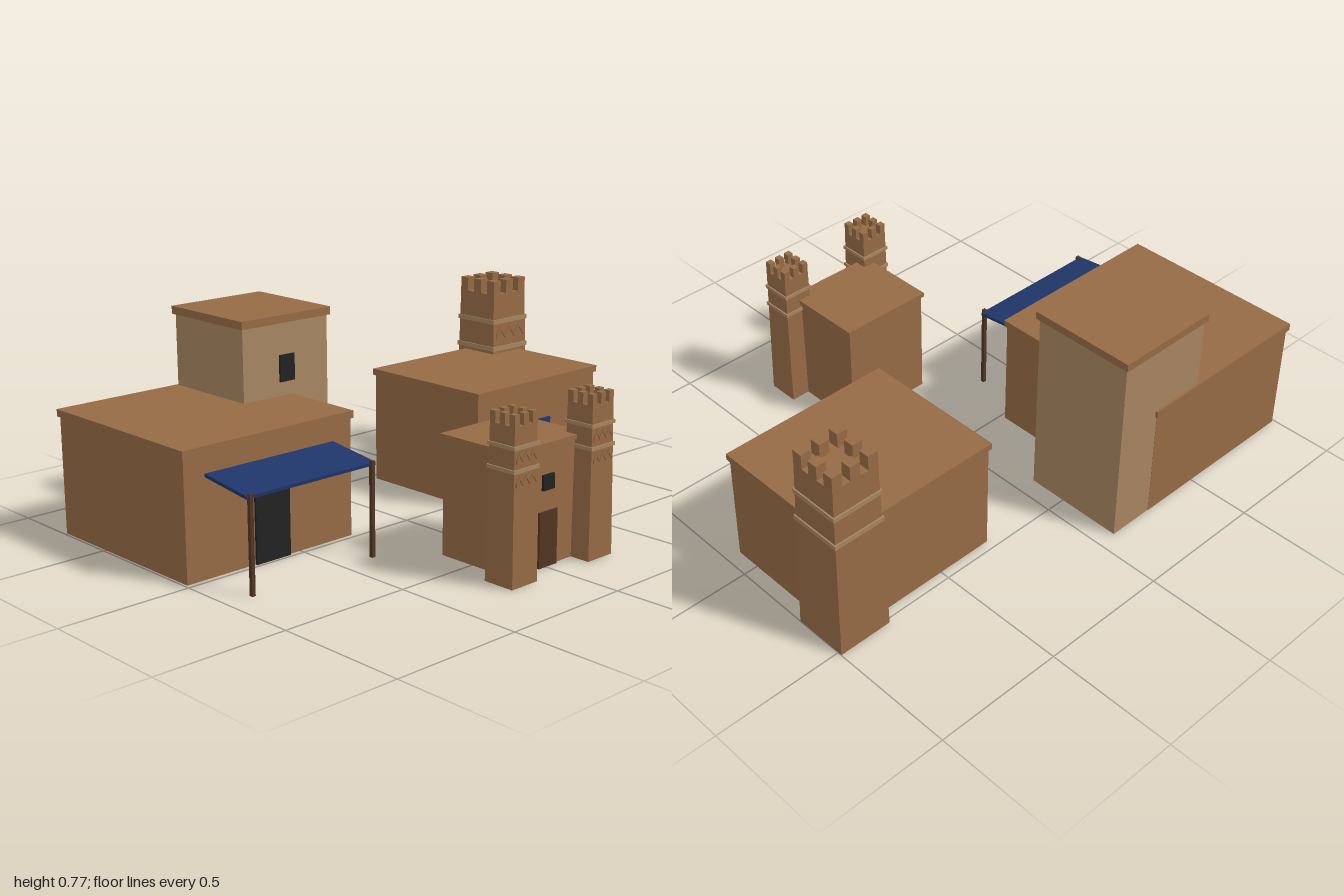
import * as THREE from 'three';

const material = (name, color, side = THREE.FrontSide) => {
  const m = new THREE.MeshStandardMaterial({ color, side });
  m.name = name;
  return m;
};

export function createModel() {
  const clay = material('brown clay', 0x966b45);
  const plaster = material('tan plaster', 0xa78661);
  const black = material('dark opening', 0x222222);
  const blue = material('blue', 0x20366a);
  const wood = material('dark wood', 0x523522);

  const root = new THREE.Group();
  root.name = 'desertVillage';

  const group = (name) => {
    const g = new THREE.Group();
    g.name = name;
    root.add(g);
    return g;
  };
  const add = (parent, name, geometry, mat) => {
    const mesh = new THREE.Mesh(geometry, mat);
    mesh.name = name;
    parent.add(mesh);
    return mesh;
  };
  // Box given by its extents on each axis
  const box = (parent, name, mat, [x0, x1], [y0, y1], [z0, z1]) => {
    const mesh = add(parent, name, new THREE.BoxGeometry(x1 - x0, y1 - y0, z1 - z0), mat);
    mesh.position.set((x0 + x1) / 2, (y0 + y1) / 2, (z0 + z1) / 2);
    return mesh;
  };
  // Walls with an overhanging slab roof
  const house = (parent, mat, xs, zs, eave, top, lip = 0.008) => {
    box(parent, 'walls', mat, xs, [0, eave], zs);
    box(parent, 'roof', clay, [xs[0] - lip, xs[1] + lip], [eave, top], [zs[0] - lip, zs[1] + lip]);
  };
  // Thin plate on a front wall
  const plate = (parent, name, mat, xs, ys, z) => box(parent, name, mat, xs, ys, [z, z + 0.009]);

  // Raised zigzag strip, centred on x
  const zigzag = (width, height) => {
    const n = 6, t = height * 0.35, upper = [], lower = [];
    for (let i = 0; i <= n; i++) {
      const x = (i / n - 0.5) * width, y = i % 2 ? height - t : 0;
      upper.push(new THREE.Vector2(x, y + t));
      lower.unshift(new THREE.Vector2(x, y));
    }
    return new THREE.ExtrudeGeometry(new THREE.Shape([...upper, ...lower]), { depth: 0.008, bevelEnabled: false });
  };

  // Tapered tower with tan bands, zigzags and a ring of merlons
  const turret = (name, x, z, { base, top, deck, height, bands, bandSize, zigzags }) => {
    const g = group(name);
    g.position.set(x, 0, z);
    const half = (y) => base + (top - base) * (y / deck);
    const shaft = new THREE.BoxGeometry(2, deck, 2).translate(0, deck / 2, 0);
    const p = shaft.attributes.position;
    for (let i = 0; i < p.count; i++) {
      const h = half(p.getY(i));
      p.setXYZ(i, p.getX(i) * h, p.getY(i), p.getZ(i) * h);
    }
    shaft.computeVertexNormals();
    add(g, 'shaft', shaft, clay);
    for (const y of bands) {
      const h = half(y) + 0.005;
      box(g, 'band', plaster, [-h, h], [y - bandSize / 2, y + bandSize / 2], [-h, h]);
    }
    for (const [y, h] of zigzags) {
      add(g, 'zigzag', zigzag(half(y) * 1.7, h), clay).position.set(0, y, half(y) - 0.003);
    }
    const m = top * 0.215, step = top - m;
    for (let i = -1; i <= 1; i++) {
      for (let j = -1; j <= 1; j++) {
        if (!i && !j) continue;
        box(g, 'merlon', clay, [i * step - m, i * step + m], [deck, height], [j * step - m, j * step + m]);
      }
    }
  };

  // Large house with square tower
  const large = group('largeHouse');
  house(large, clay, [-0.99, -0.258], [-0.75, -0.02], 0.44, 0.467);
  plate(large, 'doorway', black, [-0.7, -0.55], [0, 0.33], -0.02);
  const tower = group('squareTower');
  house(tower, plaster, [-0.473, -0.075], [-0.749, -0.352], 0.74, 0.77, 0.01);
  tower.children[0].position.y += 0.001;
  plate(tower, 'window', black, [-0.307, -0.24], [0.52, 0.62], -0.352);

  // Sloping awning on two posts
  const awning = group('awning');
  const cloth = box(awning, 'cloth', blue, [-0.905, -0.343], [0.345, 0.357], [-0.02, 0.203]);
  cloth.rotation.x = 0.125;
  for (const x of [-0.892, -0.36]) {
    box(awning, 'post', wood, [x - 0.007, x + 0.007], [0, 0.35], [0.196, 0.21]);
  }

  // Low house with blue door
  const low = group('lowHouse');
  house(low, clay, [0.277, 0.944], [-0.463, 0.097], 0.43, 0.455);
  plate(low, 'door', blue, [0.545, 0.677], [0, 0.295], 0.098);
  for (const x of [0.372, 0.8]) plate(low, 'window', black, [x, x + 0.045], [0.26, 0.33], 0.098);
  turret('cornerTurret', 0.893, -0.41, {
    base: 0.106, top: 0.093, deck: 0.7, height: 0.755,
    bands: [0.475, 0.588], bandSize: 0.018, zigzags: [[0.515, 0.055], [0.41, 0.05]],
  });

  // Gatehouse with a pair of turrets
  const gate = group('gatehouse');
  house(gate, clay, [-0.17, 0.19], [0.358, 0.677], 0.425, 0.442);
  plate(gate, 'door', wood, [-0.035, 0.055], [0, 0.2], 0.678);
  plate(gate, 'window', black, [-0.02, 0.037], [0.275, 0.33], 0.678);
  for (const x of [-0.185, 0.204]) {
    turret('gateTurret', x, 0.695, {
      base: 0.062, top: 0.055, deck: 0.553, height: 0.593,
      bands: [0.403, 0.482], bandSize: 0.013, zigzags: [[0.43, 0.038], [0.35, 0.038]],
    });
  }

  return root;
}
